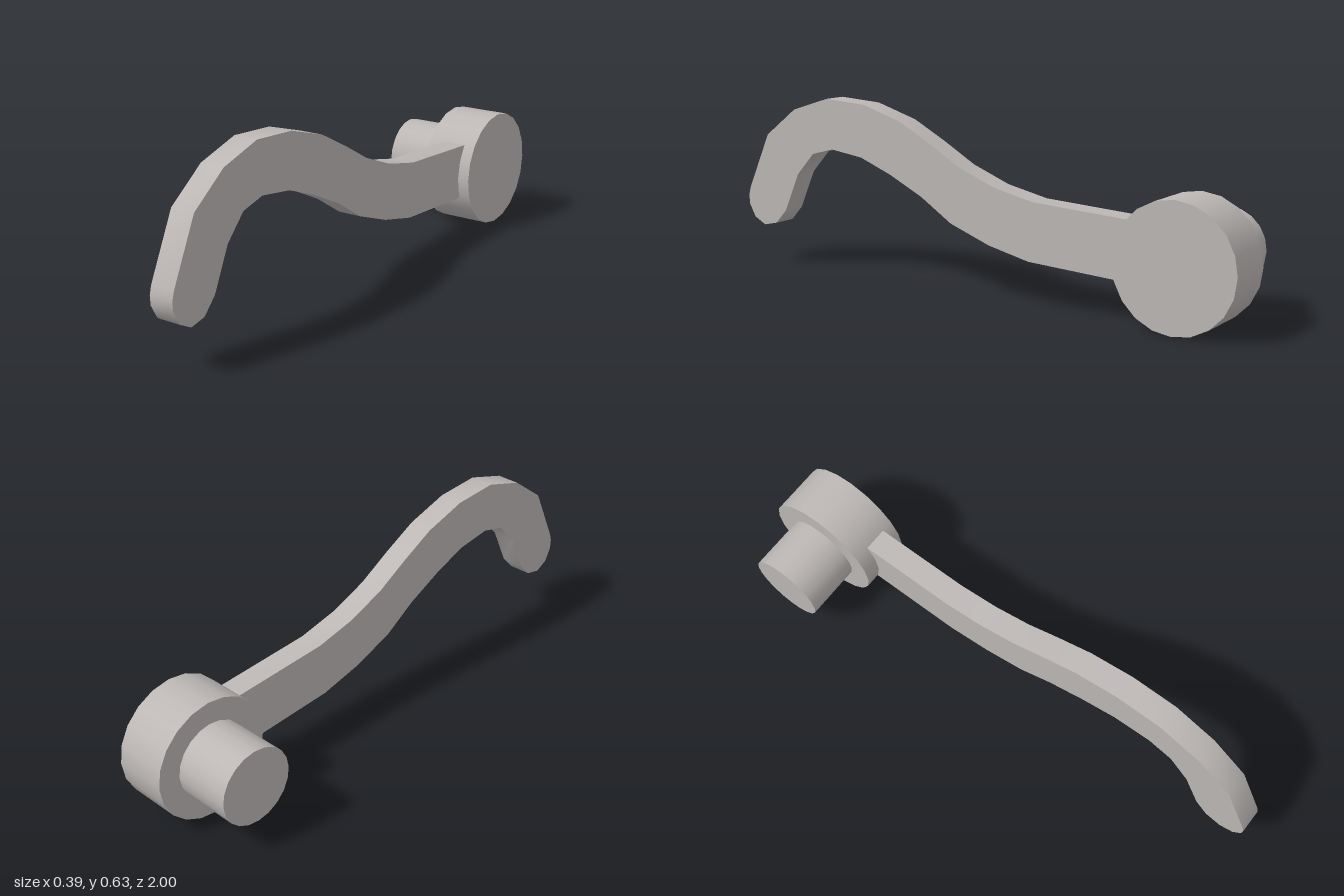
import * as THREE from 'three';
import { toCreasedNormals } from 'three/addons/utils/BufferGeometryUtils.js';

export function createModel() {
  const group = new THREE.Group();
  const metal = new THREE.MeshStandardMaterial({ color: 0xbdb8b6 });
  metal.name = 'warm grey metal';

  const add = (name, geometry) => {
    const mesh = new THREE.Mesh(geometry, metal);
    mesh.name = name;
    group.add(mesh);
  };

  // Hub and spindle: coaxial cylinders lying along x
  const axisY = 0.212, axisZ = -0.789;
  const disc = (radius, x0, x1) =>
    new THREE.CylinderGeometry(radius, radius, x1 - x0, 20)
      .rotateZ(Math.PI / 2)
      .translate((x0 + x1) / 2, axisY, axisZ);
  add('hub', disc(0.2115, 0.008, 0.195));
  add('spindle', disc(0.133, -0.195, 0.008));

  // Curved lever: side outline as (z, y), running from the hub along the top to the tip and back
  const outline = [
    [-0.68, 0.332], [-0.26, 0.354], [-0.11, 0.386], [0.03, 0.44], [0.153, 0.51],
    [0.28, 0.576], [0.44, 0.624], [0.608, 0.634], [0.763, 0.586], [0.897, 0.485],
    [0.992, 0.28], [1.0, 0.25], [0.998, 0.217], [0.972, 0.17], [0.924, 0.145],
    [0.865, 0.158], [0.817, 0.21], [0.753, 0.35], [0.678, 0.431], [0.587, 0.455],
    [0.453, 0.437], [0.324, 0.388], [0.19, 0.324], [0.067, 0.246], [-0.088, 0.19],
    [-0.244, 0.155], [-0.68, 0.133],
  ];
  const shape = new THREE.Shape(outline.map(([z, y]) => new THREE.Vector2(z, y)));
  const lever = new THREE.ExtrudeGeometry(shape, { depth: 0.086, bevelEnabled: false })
    .rotateY(-Math.PI / 2)
    .translate(0.152, 0, 0);
  add('lever', toCreasedNormals(lever, 0.7));

  return group;
}
